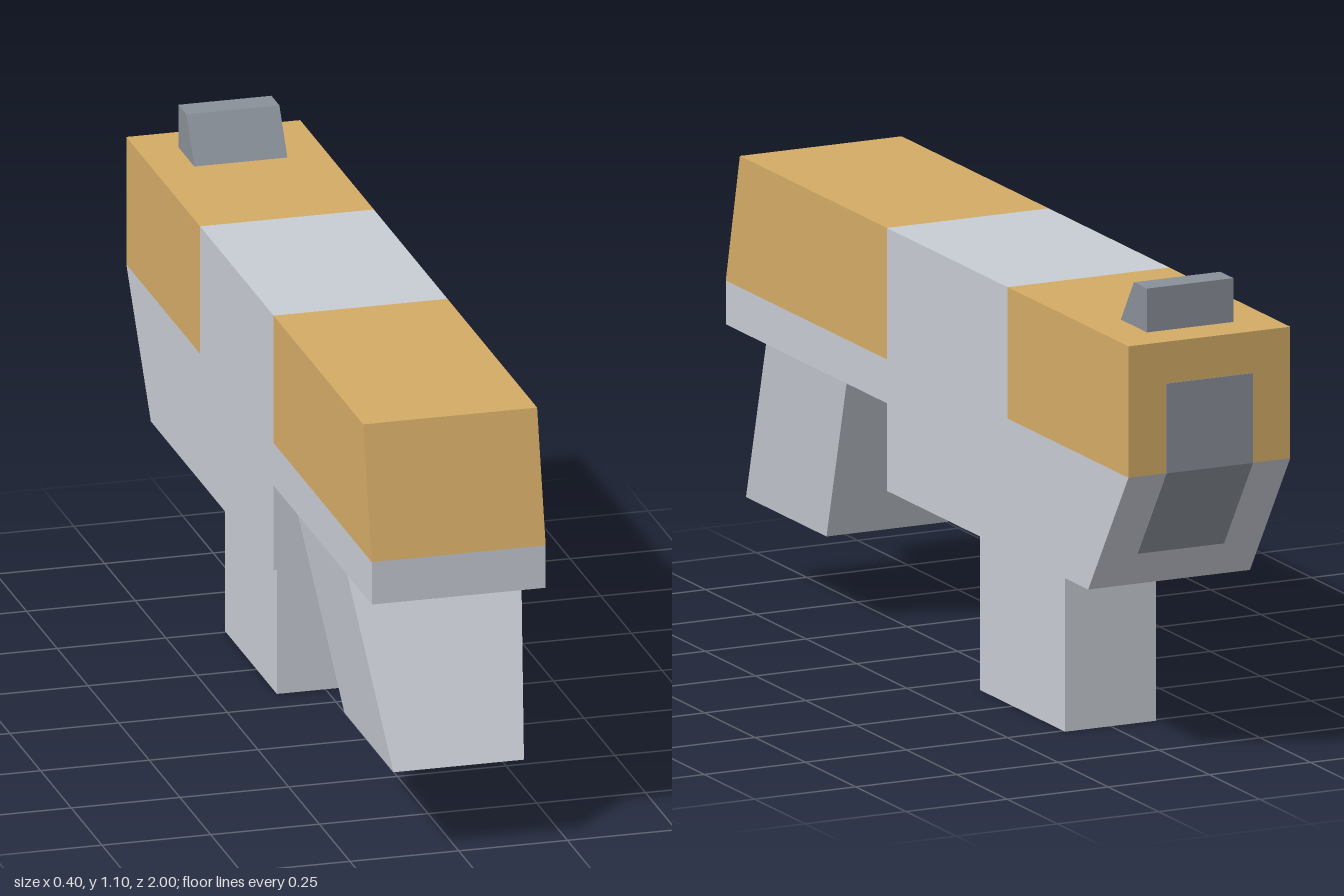
import * as THREE from 'three';

export function createModel() {
  const model = new THREE.Group();
  model.name = 'toyBlaster';

  const mat = (name, color) => {
    const m = new THREE.MeshStandardMaterial({ color });
    m.name = name;
    return m;
  };
  const grey = mat('lightGrey', 0xc8ccd4);
  const orange = mat('tan', 0xd4ab66);
  const dark = mat('slateGrey', 0x8a9099);

  const add = (name, geometry, material) => {
    const mesh = new THREE.Mesh(geometry, material);
    mesh.name = name;
    model.add(mesh);
    return mesh;
  };

  // Side profile given as [z, y] points, extruded symmetrically across x
  const slab = (name, points, width, material) => {
    const shape = new THREE.Shape(points.map(([z, y]) => new THREE.Vector2(z, y)));
    const geo = new THREE.ExtrudeGeometry(shape, { depth: width, bevelEnabled: false });
    geo.translate(0, 0, -width / 2).rotateY(-Math.PI / 2);
    return add(name, geo, material);
  };

  // Body: grey frame with a tan block at each end
  slab('frame', [
    [1, 0.6], [1, 0.7], [0.2, 0.7], [0.2, 1], [-0.4, 1], [-0.4, 0.7],
    [-1, 0.7], [-0.8, 0.4], [0.2, 0.4], [0.2, 0.6],
  ], 0.4, grey);
  slab('frontCover', [[1, 0.7], [0.93, 1], [0.2, 1], [0.2, 0.7]], 0.4, orange);
  slab('rearCover', [[-0.4, 0.7], [-0.4, 1], [-1, 1], [-1, 0.7]], 0.4, orange);

  // Wedge-shaped sight
  slab('sight', [[-0.905, 1], [-0.775, 1], [-0.84, 1.1], [-0.905, 1.1]], 0.214, dark);

  // Thin plate folded over the rear face and the slope beneath it
  slab('rearPlate', [
    [-1, 0.905], [-1.002, 0.905], [-1.002, 0.7], [-0.858, 0.484], [-0.856, 0.484], [-1, 0.7],
  ], 0.214, dark);

  // Slanted grip, narrower and further forward at the bottom
  const grip = new THREE.BoxGeometry(0.4, 0.4, 0.4);
  const pos = grip.attributes.position;
  for (let i = 0; i < pos.count; i++) {
    if (pos.getY(i) < 0) {
      pos.setX(i, pos.getX(i) * 0.75);
      pos.setZ(i, pos.getZ(i) + 0.2);
    }
  }
  grip.computeVertexNormals();
  add('grip', grip, grey).position.set(0, 0.4, 0.6);

  // Block below the body
  add('magazine', new THREE.BoxGeometry(0.224, 0.4, 0.424), grey).position.set(0, 0.2, -0.297);

  return model;
}
